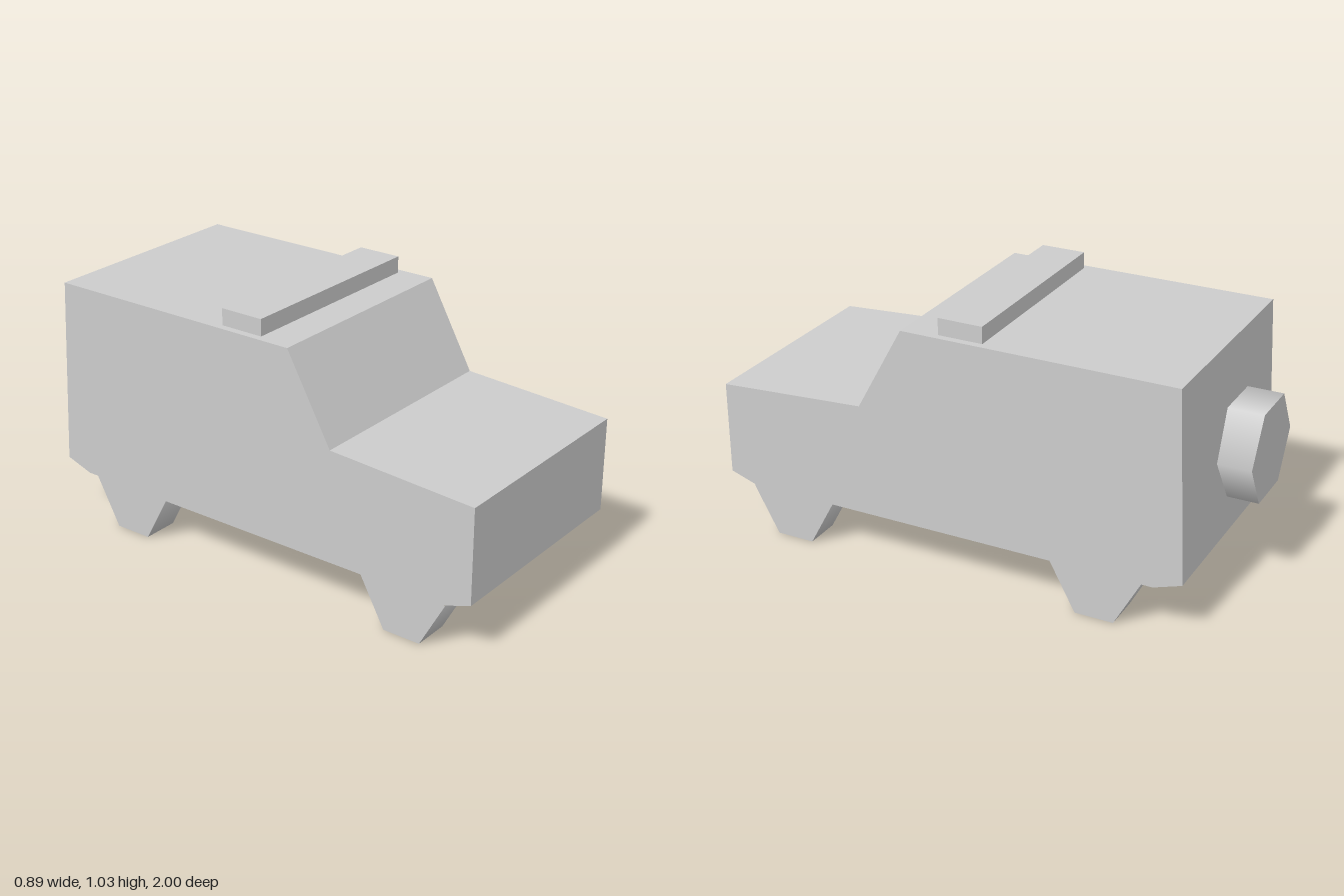
import * as THREE from 'three';

export function createModel() {
  const car = new THREE.Group();
  car.name = 'offRoadCar';
  const grey = new THREE.MeshStandardMaterial({ color: 0xcccccc });
  grey.name = 'plain grey';

  const add = (name, geometry, x, y, z) => {
    const mesh = new THREE.Mesh(geometry, grey);
    mesh.name = name;
    mesh.position.set(x, y, z);
    car.add(mesh);
    return mesh;
  };

  // Body: side profile as (z, y), extruded across the width
  const halfWidth = 0.443;
  const profile = [
    [-0.775, 0.188], [0.89, 0.188], [1, 0.225], [1, 0.595],
    [0.405, 0.63], [0.22, 0.965], [-0.85, 0.965], [-0.885, 0.225],
  ].map(([z, y]) => new THREE.Vector2(z, y));
  const body = new THREE.ExtrudeGeometry(new THREE.Shape(profile), {
    depth: halfWidth * 2, bevelEnabled: false,
  });
  body.rotateY(-Math.PI / 2);
  add('body', body, halfWidth, 0, 0);

  // Wheels: lower halves of six-sided cylinders, flush with the body sides
  const radius = 0.178, wheelWidth = 0.145, drop = 0.188;
  const wheel = new THREE.CylinderGeometry(radius, radius, wheelWidth, 3, 1, false, Math.PI, Math.PI);
  wheel.rotateZ(Math.PI / 2);
  const p = wheel.attributes.position;
  for (let i = 0; i < p.count; i++) {
    if (p.getY(i) < -0.05) {
      p.setY(i, -drop);
      p.setZ(i, Math.sign(p.getZ(i)) * 0.076);
    }
  }
  for (const [end, z] of [['front', 0.72], ['rear', -0.553]]) {
    for (const [side, s] of [['Left', 1], ['Right', -1]]) {
      add(`${end}${side}Wheel`, wheel, s * (halfWidth - wheelWidth / 2), drop, z);
    }
  }

  // Spare wheel on the tailgate
  const spare = new THREE.CylinderGeometry(0.203, 0.203, 0.18, 6, 1, false, Math.PI / 2);
  spare.rotateX(Math.PI / 2);
  add('spareWheel', spare, -0.082, 0.546, -0.91);

  // Light bar across the roof
  add('roofBar', new THREE.BoxGeometry(0.83, 0.085, 0.176), 0, 0.9875, -0.006);

  return car;
}
